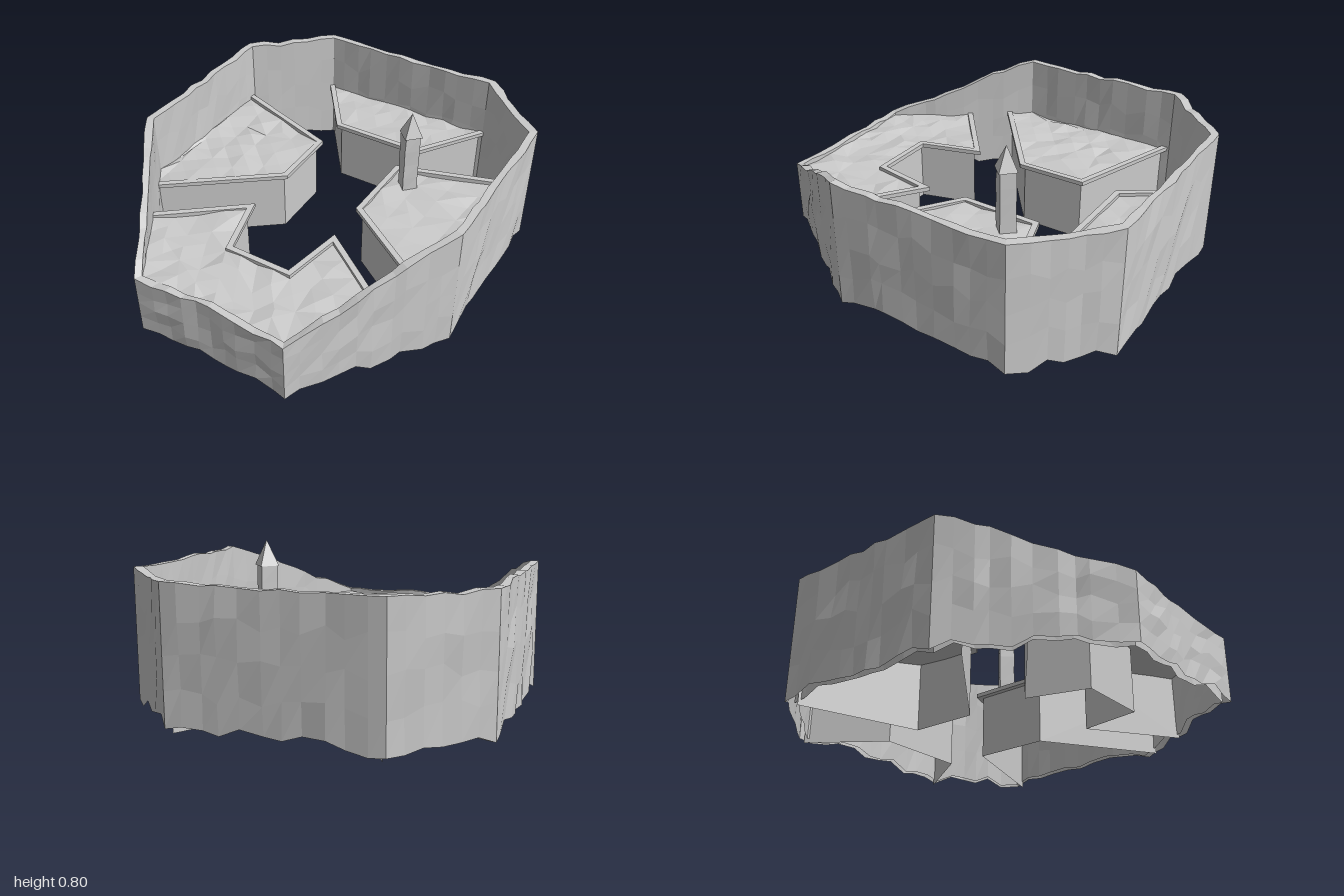
import * as THREE from 'three';

// Repeatable noise in -1..1
function noise(a, b, c = 0) {
  const s = Math.sin(a * 127.1 + b * 311.7 + c * 74.7 + 3.1) * 43758.5453;
  return (s - Math.floor(s)) * 2 - 1;
}

const stone = new THREE.MeshStandardMaterial({ color: 0xcccccc, flatShading: true });
const shell = new THREE.MeshStandardMaterial({ color: 0xcccccc, flatShading: true, side: THREE.DoubleSide });

function makeMesh(name, positions, index) {
  const geo = new THREE.BufferGeometry();
  geo.setAttribute('position', new THREE.Float32BufferAttribute(positions, 3));
  if (index) geo.setIndex(index);
  geo.computeVertexNormals();
  const mesh = new THREE.Mesh(geo, shell);
  mesh.name = name;
  return mesh;
}

// Joins open cross-sections (arrays of [x, y, z]) into a surface, optionally as a ring
function loft(name, sections, ring) {
  const n = sections.length, m = sections[0].length, index = [];
  for (let i = 0; i < (ring ? n : n - 1); i++) {
    for (let j = 0; j < m - 1; j++) {
      const a = i * m + j, b = ((i + 1) % n) * m + j;
      index.push(a, a + 1, b, b, a + 1, b + 1);
    }
  }
  return makeMesh(name, sections.flat(2), index);
}

// Height of the outer wall, falling towards the front
const slope = [[-1, 0.675], [0.28, 0.672], [0.4, 0.635], [0.57, 0.55], [0.76, 0.45], [0.9, 0.405], [1, 0.34]];
function wallTop(z) {
  const k = Math.max(1, slope.findIndex(p => p[0] >= z));
  const [z0, y0] = slope[k - 1], [z1, y1] = slope[k];
  return y0 + (y1 - y0) * (z - z0) / (z1 - z0);
}

// Rugged outer wall with a ragged lower edge, open underneath
function outerWall() {
  const corners = [[-0.515, -0.993], [0.515, -0.993], [0.886, -0.645], [0.886, 0.275], [0.41, 0.988],
    [0, 0.965], [-0.41, 0.988], [-0.886, 0.275], [-0.886, -0.645]];
  const sections = [], rows = 4;
  corners.forEach(([x0, z0], k) => {
    const [x1, z1] = corners[(k + 1) % corners.length];
    const len = Math.hypot(x1 - x0, z1 - z0);
    const nx = (z1 - z0) / len, nz = -(x1 - x0) / len;
    const steps = Math.max(4, Math.round(len / 0.09));
    for (let s = 0; s < steps; s++) {
      const jitter = s ? noise(k, s, 9) * 0.25 : 0;
      const t = (s + jitter) / steps;
      const x = x0 + (x1 - x0) * t, z = z0 + (z1 - z0) * t;
      const top = wallTop(z) + (s ? noise(k, s, 1) * 0.009 : 0.006);
      const bottom = s ? 0.042 + noise(k, s, 2) * 0.03 : 0.022;
      const edge = s ? 0.008 : 0;
      const outer = [], inner = [];
      for (let r = 0; r <= rows; r++) {
        const shift = r > 0 && r < rows ? noise(k * 40 + s, r, 4) * 0.05 : 0;
        const y = bottom + (top - bottom) * (r / rows + shift);
        const o = noise(k * 40 + s, r, 5) * edge, q = noise(k * 40 + s, r, 6) * edge * 0.6;
        outer.push([x + nx * o, y, z + nz * o]);
        inner.push([x * 0.957 + nx * q, y, z * 0.964 + nz * q]);
      }
      sections.push([...outer, ...inner.reverse()]);
    }
  });
  return loft('outerWall', sections, true);
}

// Offsets an open path to its inner side with mitred corners
function inset(path, w) {
  const normal = i => {
    const dx = path[i + 1][0] - path[i][0], dz = path[i + 1][1] - path[i][1], l = Math.hypot(dx, dz);
    return [-dz / l, dx / l];
  };
  return path.map(([x, z], i) => {
    const a = normal(Math.max(0, i - 1)), b = normal(Math.min(path.length - 2, i));
    const k = w / (1 + a[0] * b[0] + a[1] * b[1]);
    return [x + (a[0] + b[0]) * k, z + (a[1] + b[1]) * k];
  });
}

// Uneven ground filling a polygon, split along its longest edges
function ground(name, outline, y) {
  const positions = [];
  const height = p => y + noise(Math.round(p.x * 500), Math.round(p.y * 500)) * 0.011;
  const split = (a, b, c) => {
    const ab = a.distanceTo(b), longest = Math.max(ab, b.distanceTo(c), c.distanceTo(a));
    if (longest < 0.17) {
      const up = (b.x - a.x) * (c.y - a.y) - (b.y - a.y) * (c.x - a.x) < 0;
      for (const p of up ? [a, b, c] : [a, c, b]) positions.push(p.x, height(p), p.y);
    } else if (longest < ab + 1e-6) {
      const mid = a.clone().add(b).multiplyScalar(0.5);
      split(a, mid, c);
      split(mid, b, c);
    } else split(b, c, a);
  };
  const pts = outline.map(([x, z]) => new THREE.Vector2(x, z));
  for (const [a, b, c] of THREE.ShapeUtils.triangulateShape(pts, [])) split(pts[a], pts[b], pts[c]);
  return makeMesh(name, positions);
}

// Platform: upright walls set back under an overhanging curb, uneven ground, open below
function platform(name, path, outerEdge, rimY) {
  const group = new THREE.Group();
  group.name = name;
  const inner = inset(path, 0.03);
  const sections = path.map(([x, z], i) => {
    const [u, v] = inner[i], under = rimY - 0.022;
    return [[u, 0, v], [u, under, v], [x, under, z], [x, rimY, z], [u, rimY, v], [u, rimY - 0.03, v]];
  });
  group.add(loft(name + 'WallAndCurb', sections, false));
  group.add(ground(name + 'Ground', [...inner, ...outerEdge], rimY - 0.014));
  return group;
}

// Square pillar with a pointed cap
function spire() {
  const group = new THREE.Group();
  group.name = 'spire';
  const body = new THREE.CylinderGeometry(0.055, 0.057, 0.33, 4, 4);
  const p = body.attributes.position;
  for (let i = 0; i < p.count; i++) {
    const x = p.getX(i), y = p.getY(i), z = p.getZ(i);
    const f = 1 + noise(Math.round(x * 30), Math.round(y * 50), Math.round(z * 30)) * 0.08;
    p.setXYZ(i, x * f, y, z * f);
  }
  const shaft = new THREE.Mesh(body, stone);
  shaft.name = 'spireShaft';
  shaft.position.y = 0.505;
  const cap = new THREE.Mesh(new THREE.ConeGeometry(0.065, 0.125, 4), stone);
  cap.name = 'spireCap';
  cap.position.y = 0.7325;
  group.add(shaft, cap);
  group.position.set(0.345, 0, -0.305);
  return group;
}

export function createModel() {
  const model = new THREE.Group();
  model.name = 'walledCourt';
  model.add(
    outerWall(),
    platform('rightPlatform', [[-0.85, -0.61], [-0.235, -0.405], [-0.23, -0.03], [-0.78, 0.4]],
      [[-0.85, 0.27]], 0.36),
    platform('leftPlatform', [[0.775, 0.395], [0.215, 0.015], [0.22, -0.415], [0.85, -0.615]],
      [[0.85, 0.27]], 0.36),
    platform('backPlatform', [[0.51, -0.96], [0.26, -0.585], [-0.25, -0.585], [-0.52, -0.96]],
      [], 0.36),
    platform('frontPlatform', [[-0.665, 0.575], [-0.25, 0.24], [-0.155, 0.565], [0.165, 0.565],
      [0.22, 0.235], [0.67, 0.56]], [[0.395, 0.955], [0, 0.935], [-0.395, 0.955]], 0.35),
    spire()
  );
  return model;
}
